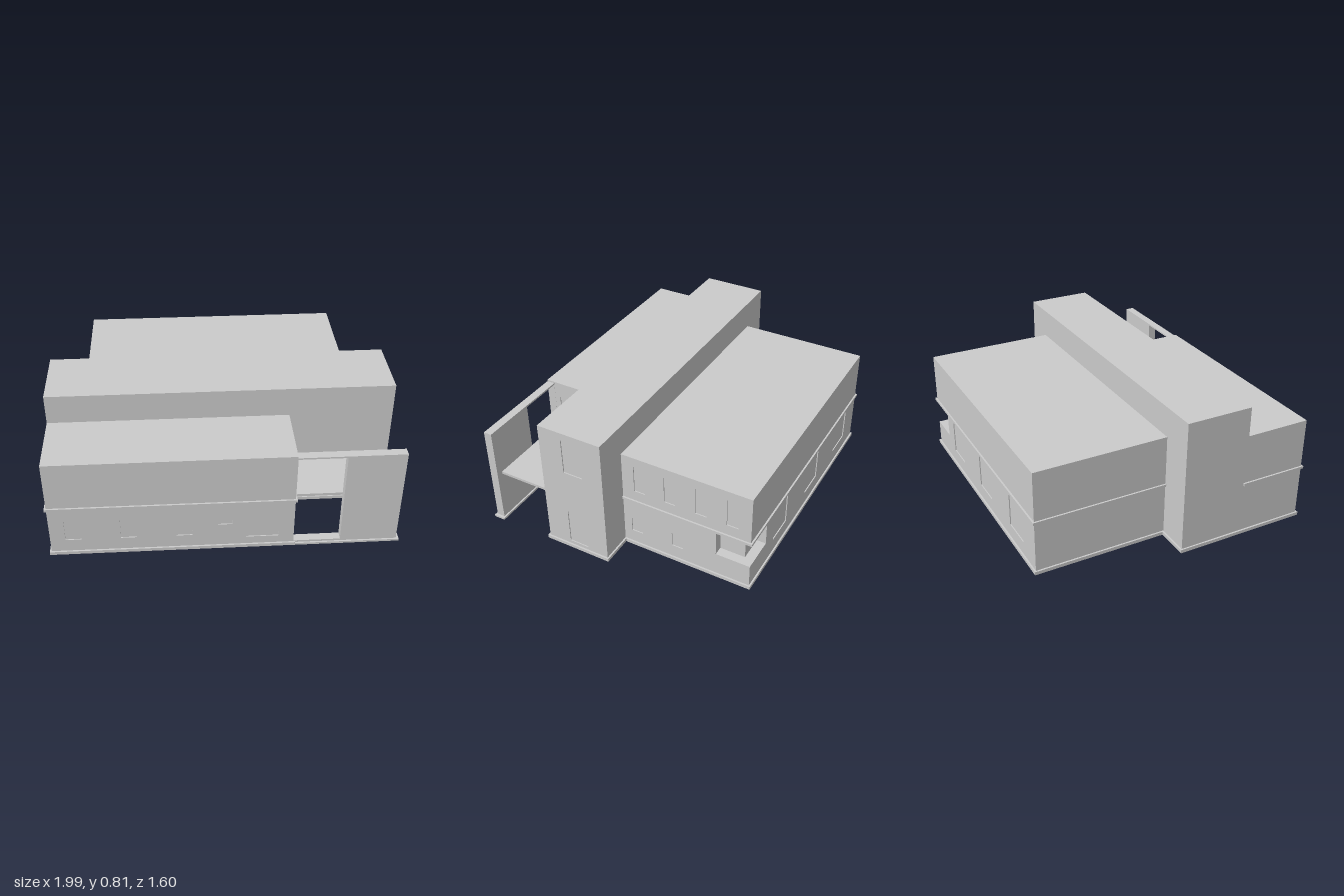
import * as THREE from 'three';

const T = 0.015; // wall thickness
const mat = new THREE.MeshStandardMaterial({ color: 0xcccccc, flatShading: true, side: THREE.DoubleSide });

function add(group, name, geometry) {
  const mesh = new THREE.Mesh(geometry, mat);
  mesh.name = name;
  group.add(mesh);
  return mesh;
}

function box(group, name, x0, x1, y0, y1, z0, z1) {
  const g = new THREE.BoxGeometry(x1 - x0, y1 - y0, z1 - z0);
  g.translate((x0 + x1) / 2, (y0 + y1) / 2, (z0 + z1) / 2);
  return add(group, name, g);
}

function rectPath(a0, a1, b0, b1, Type = THREE.Path) {
  return new Type([[a0, b0], [a1, b0], [a1, b1], [a0, b1]].map(p => new THREE.Vector2(...p)));
}

const extrude = (shape, depth) => new THREE.ExtrudeGeometry(shape, { depth, bevelEnabled: false });

// Wall with recessed windows [a0, a1, y0, y1]; side walls run along z, others along x.
// notch [a, y0, y1] cuts the back end of a side wall or the +x end of a back wall.
function wall(group, name, a0, a1, h, at, side, windows = [], notch) {
  const s = side ? -1 : 1;
  const [u0, u1] = side ? [-a1, -a0] : [a0, a1];
  const pts = [[u0, 0], [u1, 0]];
  if (notch) pts.push([u1, notch[1]], [s * notch[0], notch[1]], [s * notch[0], notch[2]], [u1, notch[2]]);
  pts.push([u1, h], [u0, h]);
  const shape = new THREE.Shape(pts.map(p => new THREE.Vector2(...p)));
  for (const [w0, w1, y0, y1] of windows) shape.holes.push(rectPath(s * w0, s * w1, y0, y1));
  const turn = g => (side ? g.rotateY(Math.PI / 2) : g);
  add(group, name, turn(extrude(shape, T).translate(0, 0, at)));
  // window panes set into the middle of the block's wall
  for (const [w0, w1, y0, y1] of windows) {
    const g = new THREE.BoxGeometry(w1 - w0, y1 - y0, 0.003);
    g.translate(s * (w0 + w1) / 2, (y0 + y1) / 2, at + T / 2);
    add(group, 'windowPane', turn(g));
  }
}

// Projecting string course around a rectangular block
function band(group, name, x0, x1, z0, z1, y0, y1) {
  const o = 0.01;
  const shape = rectPath(x0 - o, x1 + o, -z1 - o, -z0 + o, THREE.Shape);
  shape.holes.push(rectPath(x0 + T, x1 - T, -z1 + T, -z0 - T));
  add(group, name, extrude(shape, y1 - y0).rotateX(-Math.PI / 2).translate(0, y0, 0));
}

// Hollow block, open underneath, with a flat roof
function block(name, [x0, x1], [z0, z1], h, { front, back, left, notch, storey } = {}) {
  const g = new THREE.Group();
  g.name = name;
  const top = h - T;
  wall(g, 'frontWall', x0, x1, top, z1 - T, false, front);
  wall(g, 'backWall', x0, x1, top, z0, false, back, notch && [notch.x, ...notch.y]);
  // side walls tuck in between front and back, except at a cut corner
  wall(g, 'leftWall', notch ? z0 : z0 + T, z1 - T, top, x1 - T, true, left, notch && [notch.z, ...notch.y]);
  wall(g, 'rightWall', z0 + T, z1 - T, top, x0, true);
  box(g, 'roof', x0, x1, top, h, z0, z1);
  band(g, 'baseBand', x0, x1, z0, z1, 0, 0.02);
  if (storey) band(g, 'storeyBand', x0, x1, z0, z1, 0.32, 0.335);
  return g;
}

export function createModel() {
  const model = new THREE.Group();
  model.name = 'house';

  // Rear block with a row of upper windows and a cut corner
  const upper = [-0.68, -0.49, -0.3, -0.11].map(z => [z - 0.035, z + 0.035, 0.4, 0.57]);
  const rear = block('rearBlock', [-0.79, 0.79], [-0.79, 0], 0.63, {
    back: [[0.3, 0.48, 0.1, 0.3], [-0.16, 0.02, 0.1, 0.3], [-0.63, -0.44, 0.1, 0.3]],
    left: [...upper, [-0.38, -0.31, 0.1, 0.19], [-0.12, -0.05, 0.1, 0.19]],
    notch: { x: 0.585, z: -0.585, y: [0.16, 0.32] },
    storey: true,
  });
  // Corner loggia: floor, ceiling, set-back core and jambs
  const c = 0.57, e = 0.79;
  box(rear, 'loggiaFloor', c, e - 0.001, 0.145, 0.16, -e + 0.001, -c);
  box(rear, 'loggiaCeiling', c, e - 0.001, 0.32, 0.335, -e + 0.001, -c);
  box(rear, 'loggiaCore', c, 0.735, 0.16, 0.32, -0.735, -c);
  box(rear, 'loggiaJamb', 0.72, e, 0.16, 0.32, -0.585, -c);
  box(rear, 'loggiaJamb', c, 0.585, 0.16, 0.32, -e, -0.72);

  // Tall central block
  const middle = block('middleBlock', [-0.985, 0.98], [0, 0.395], 0.805, {
    left: [[0.13, 0.25, 0.04, 0.26], [0.13, 0.25, 0.54, 0.76]],
  });

  // Front wing
  const front = block('frontWing', [-0.985, 0.385], [0.395, 0.785], 0.63, {
    front: [[-0.9, -0.81, 0.1, 0.24], [-0.59, -0.5, 0.1, 0.24], [-0.28, -0.19, 0.1, 0.24],
      [-0.045, 0.035, 0.17, 0.27], [0.115, 0.3, 0.07, 0.1]],
    left: [...[0.47, 0.56, 0.67].map(z => [z - 0.03, z + 0.03, 0.37, 0.53]),
      [0.46, 0.54, 0.06, 0.25], [0.62, 0.7, 0.06, 0.25]],
    storey: true,
  });

  // Terrace: balcony slab behind a free-standing framed screen wall
  const terrace = new THREE.Group();
  terrace.name = 'terrace';
  box(terrace, 'balconySlab', 0.385, 0.94, 0.312, 0.328, 0.395, 0.736);
  const screen = rectPath(0.385, 0.98, 0.005, 0.62, THREE.Shape);
  screen.holes.push(rectPath(0.386, 0.655, 0.025, 0.61));
  add(terrace, 'screenWall', extrude(screen, 0.05).translate(0, 0, 0.735));
  box(terrace, 'screenBase', 0.38, 0.995, 0, 0.013, 0.725, 0.795);

  model.add(rear, middle, front, terrace);
  return model;
}
